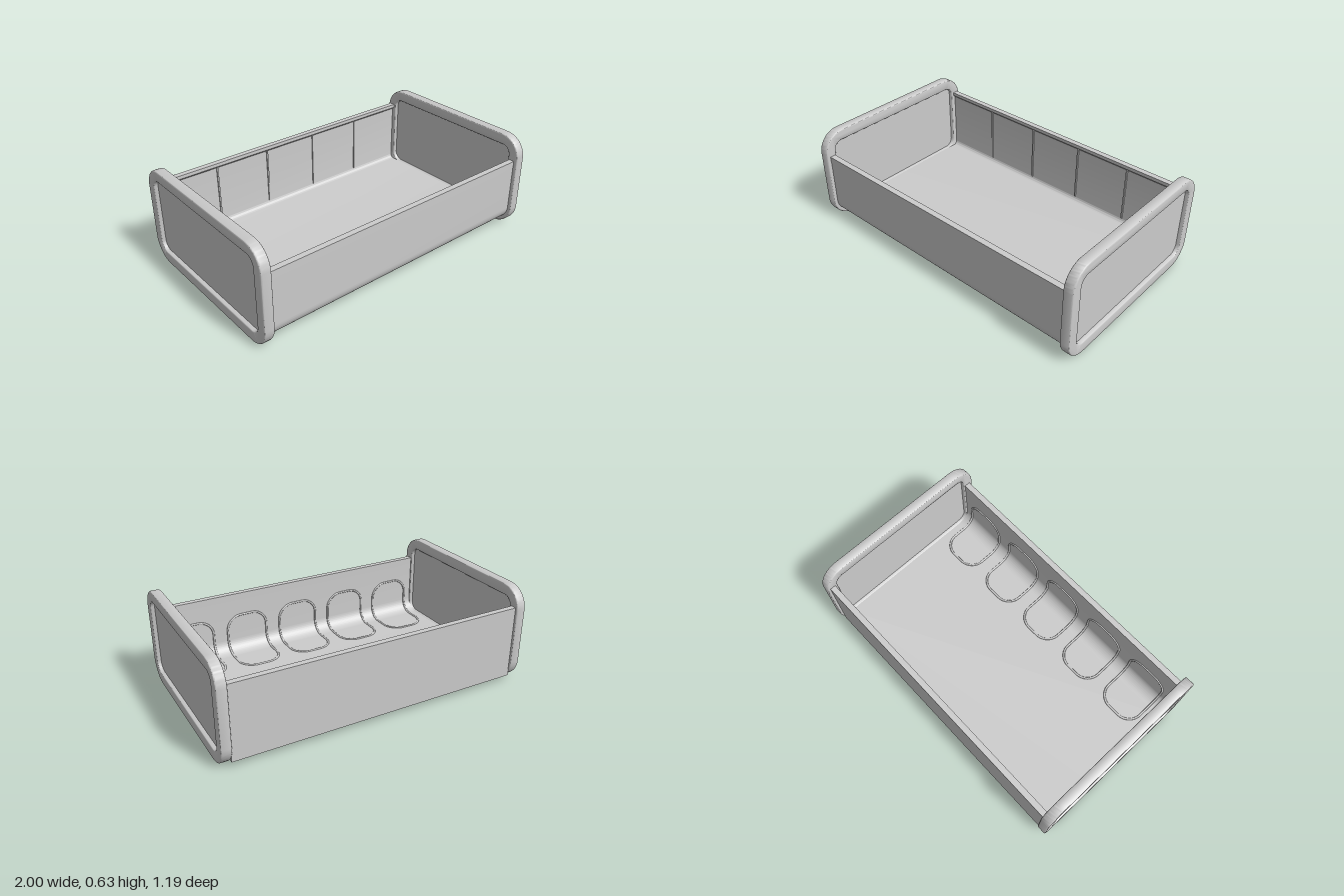
import * as THREE from 'three';
import { toCreasedNormals } from 'three/addons/utils/BufferGeometryUtils.js';

const material = new THREE.MeshStandardMaterial({ color: 0xcccccc });

function add(parent, geometry, name) {
  const mesh = new THREE.Mesh(geometry, material);
  mesh.name = name;
  parent.add(mesh);
  return mesh;
}

// Rounded rectangle traced counter-clockwise
function roundedRect(w, h, r, cy = 0, PathType = THREE.Shape) {
  const p = new PathType(), x = w / 2 - r, y = h / 2 - r, q = Math.PI / 2;
  p.absarc(x, cy + y, r, 0, q);
  p.absarc(-x, cy + y, r, q, 2 * q);
  p.absarc(-x, cy - y, r, 2 * q, 3 * q);
  p.absarc(x, cy - y, r, 3 * q, 4 * q);
  p.closePath();
  return p;
}

// Extrudes a (z, y) outline along x, centred on x = 0
function extrudeX(shape, width, bevel = 0) {
  const depth = width - 2 * bevel;
  const g = new THREE.ExtrudeGeometry(shape, {
    depth, curveSegments: 12, bevelEnabled: bevel > 0,
    bevelSize: bevel, bevelThickness: bevel, bevelOffset: -bevel, bevelSegments: 4,
  });
  g.translate(0, 0, -depth / 2);
  g.rotateY(-Math.PI / 2);
  return toCreasedNormals(g, 0.6);
}

const FLOOR = 0.075, INNER = 0.535, COVE = 0.085, WIDTH = 1.88;

// Tray cross-section: floor, low front wall, higher back wall with a lip
function trayShape() {
  const s = new THREE.Shape();
  s.moveTo(-0.578, 0.04);
  s.lineTo(0.475, 0.04);
  s.absarc(0.475, 0.135, 0.095, -Math.PI / 2, 0);
  s.lineTo(0.57, 0.45);
  s.lineTo(INNER, 0.45);
  s.lineTo(INNER, FLOOR + COVE);
  s.absarc(INNER - COVE, FLOOR + COVE, COVE, 0, -Math.PI / 2, true);
  s.lineTo(-0.525, FLOOR);
  s.absarc(-0.525, FLOOR + 0.03, 0.03, -Math.PI / 2, -Math.PI, true);
  s.lineTo(-0.555, 0.474);
  s.lineTo(-0.541, 0.488);
  s.lineTo(-0.541, 0.51);
  s.lineTo(-0.578, 0.51);
  s.closePath();
  return s;
}

// Point on the inner surface at distance t from z = 0.27, running up the front wall
function onSurface(x, t) {
  const flat = INNER - COVE - 0.27, arc = COVE * Math.PI / 2;
  if (t < flat) return new THREE.Vector3(x, FLOOR, 0.27 + t);
  if (t > flat + arc) return new THREE.Vector3(x, FLOOR + COVE + t - flat - arc, INNER);
  const a = (t - flat) / COVE;
  return new THREE.Vector3(x, FLOOR + COVE * (1 - Math.cos(a)), INNER - COVE + COVE * Math.sin(a));
}

class SeatOutline extends THREE.Curve {
  constructor() {
    super();
    this.path = roundedRect(0.275, 0.475, 0.1, 0.2375);
  }
  getPoint(u, target = new THREE.Vector3()) {
    const p = this.path.getPointAt(u % 1);
    return target.copy(onSurface(p.x, p.y));
  }
}

export function createModel() {
  const group = new THREE.Group();
  group.name = 'tray';
  add(group, extrudeX(trayShape(), WIDTH), 'trayBody');

  // Square rail capping the front wall
  add(group, new THREE.BoxGeometry(WIDTH, 0.035, 0.037), 'frontRail').position.set(0, 0.4575, 0.5525);

  // End frames with deeply recessed panels
  const frameShape = roundedRect(1.19, 0.63, 0.14, 0.315);
  frameShape.holes.push(roundedRect(1.045, 0.48, 0.055, 0.317, THREE.Path));
  const frame = extrudeX(frameShape, 0.064, 0.01);
  const panel = extrudeX(roundedRect(1.08, 0.52, 0.07, 0.317), 0.014);
  for (const side of [-1, 1]) {
    const end = new THREE.Group();
    end.name = side > 0 ? 'leftEnd' : 'rightEnd';
    end.position.x = side * 0.968;
    add(end, frame, 'endFrame');
    add(end, panel, 'endPanel');
    group.add(end);
  }

  // Raised seat outlines curving from the floor up the front wall
  const outline = new THREE.TubeGeometry(new SeatOutline(), 120, 0.007, 8, true);
  for (let i = -2; i <= 2; i++) {
    add(group, outline, 'seatOutline').position.x = i * 0.374;
  }

  // Thin seams dividing the back wall into five bays
  const seam = new THREE.BoxGeometry(0.01, 0.37, 0.016);
  for (let i = -1.5; i <= 1.5; i++) {
    add(group, seam, 'backSeam').position.set(i * 0.374, 0.29, -0.555);
  }
  return group;
}
